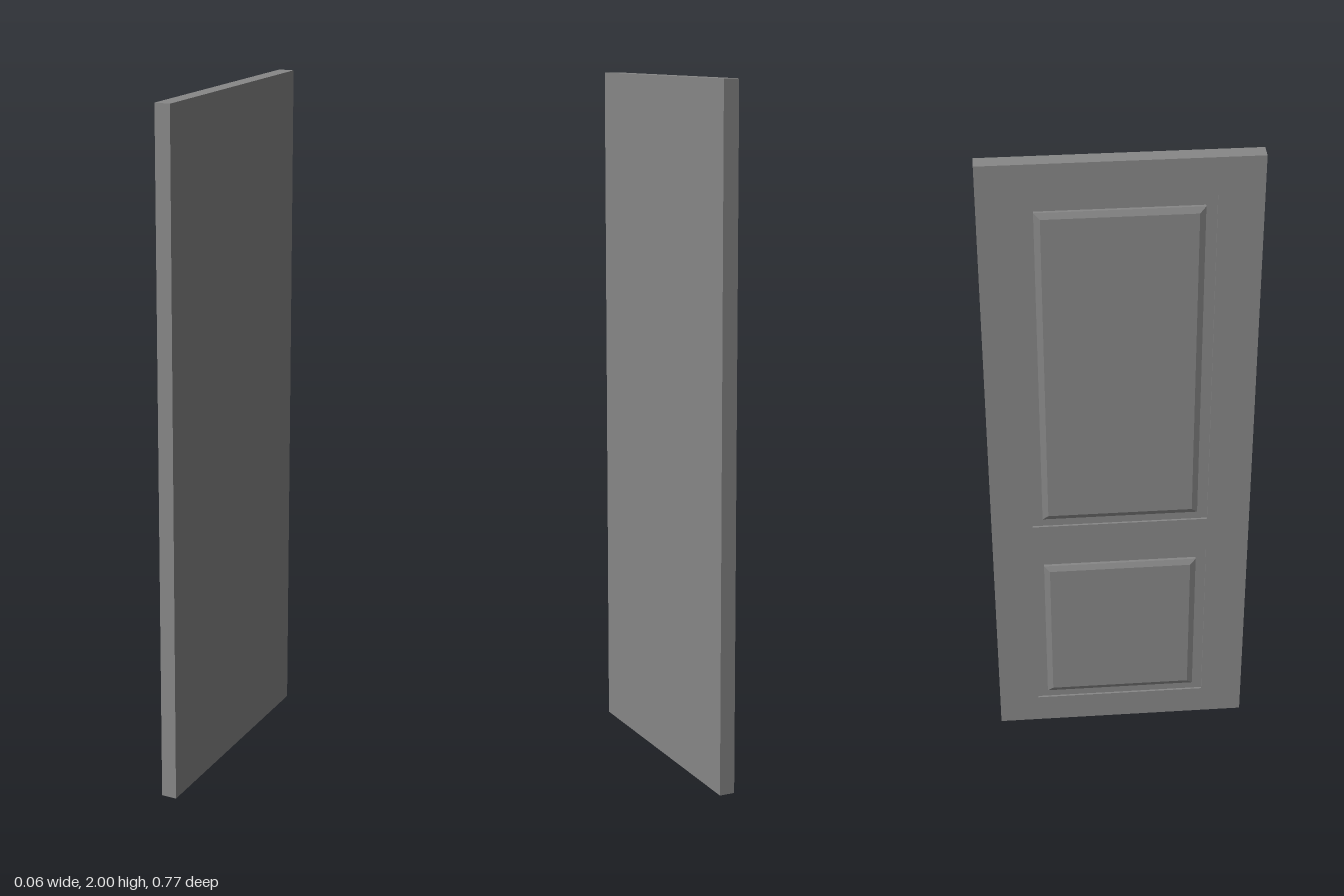
import * as THREE from 'three';

const W = 0.766, H = 2;              // door leaf width (z) and height (y)
const PLAIN = 0.0275, FACE = -0.018; // x of the plain side and panelled side
const HALF = 0.26, ZC = -0.0025;     // panel half width and centre
const PANELS = [['lowerPanel', 0.096, 0.672], ['upperPanel', 0.792, 1.888]];
// Panel profile from rim to centre: inset from the opening, x level
const PROFILE = [[0, FACE], [0, -0.012], [0.031, -0.012], [0.031, -0.0205], [0.048, -0.028]];

// Corners (z, y) of a panel opening, shrunk by an inset
function corners(y0, y1, inset) {
  const z0 = ZC - HALF + inset, z1 = ZC + HALF - inset;
  const a = y0 + inset, b = y1 - inset;
  return [[z0, a], [z1, a], [z1, b], [z0, b]];
}

// Nested rectangles joined by flat strips and closed by a centre field
function panelGeometry(y0, y1) {
  const loops = PROFILE.map(([inset, x]) =>
    corners(y0, y1, inset).map(([z, y]) => new THREE.Vector3(x, y, z)));
  const points = [];
  const quad = (a, b, c, d) => points.push(a, b, c, a, c, d);
  for (let k = 0; k < loops.length - 1; k++) {
    for (let i = 0; i < 4; i++) {
      const j = (i + 1) % 4;
      quad(loops[k][i], loops[k][j], loops[k + 1][j], loops[k + 1][i]);
    }
  }
  quad(...loops[loops.length - 1]);
  const geo = new THREE.BufferGeometry().setFromPoints(points);
  geo.computeVertexNormals();
  return geo;
}

// Plain side, top and both edges of the hollow leaf; the underside is open
function shellGeometry() {
  const geo = new THREE.BoxGeometry(PLAIN - FACE, H, W);
  const index = Array.from(geo.index.array);
  geo.setIndex([...index.slice(0, 6), ...index.slice(12, 18), ...index.slice(24)]);
  geo.clearGroups();
  geo.translate((PLAIN + FACE) / 2, H / 2, 0);
  return geo;
}

// Panelled side with two openings
function frameGeometry() {
  const toPoints = (list) => list.map(([z, y]) => new THREE.Vector2(z, y));
  const shape = new THREE.Shape(toPoints([[-W / 2, 0], [W / 2, 0], [W / 2, H], [-W / 2, H]]));
  for (const [, y0, y1] of PANELS) {
    shape.holes.push(new THREE.Path(toPoints(corners(y0, y1, 0))));
  }
  return new THREE.ShapeGeometry(shape).rotateY(-Math.PI / 2).translate(FACE, 0, 0);
}

export function createModel() {
  const door = new THREE.Group();
  door.name = 'panelDoor';
  const mat = new THREE.MeshStandardMaterial({ color: 0x888888, side: THREE.DoubleSide });
  const add = (name, geo) => {
    const mesh = new THREE.Mesh(geo, mat);
    mesh.name = name;
    door.add(mesh);
  };

  add('doorShell', shellGeometry());
  add('stilesAndRails', frameGeometry());
  for (const [name, y0, y1] of PANELS) add(name, panelGeometry(y0, y1));
  return door;
}
